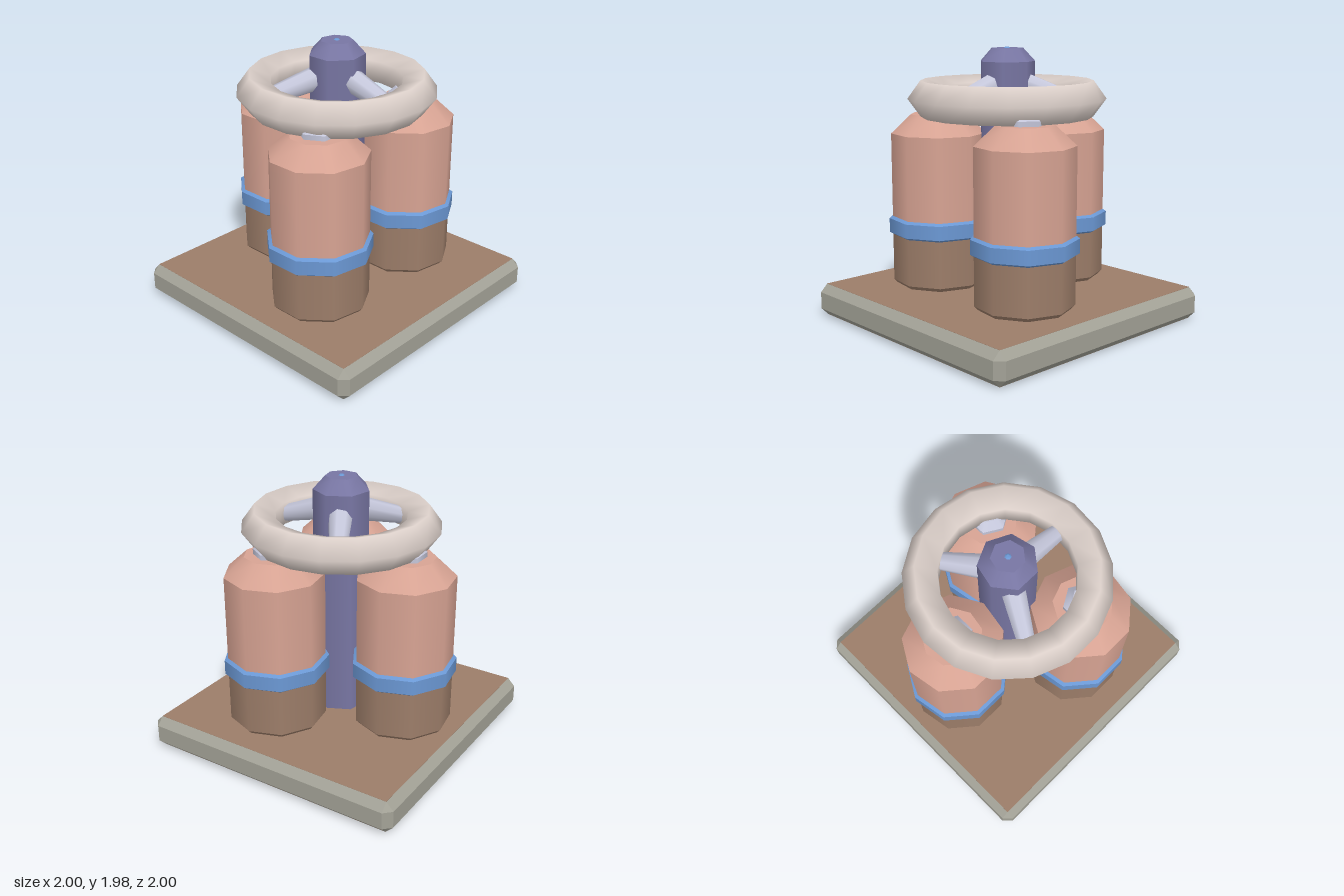
import * as THREE from 'three';
import { ConvexGeometry } from 'three/addons/geometries/ConvexGeometry.js';

const paint = (name, color) => {
  const m = new THREE.MeshStandardMaterial({ color });
  m.name = name;
  return m;
};

export function createModel() {
  const root = new THREE.Group();
  root.name = 'tankRig';
  const grey = paint('stone grey', 0xa2a196);
  const brown = paint('rust brown', 0x9c7d69);
  const pink = paint('dusty pink', 0xd7a393);
  const blue = paint('band blue', 0x6b98d4);
  const purple = paint('slate purple', 0x7876a3);
  const pale = paint('pale lavender', 0xc6c8dc);
  const cream = paint('warm cream', 0xdcd0ca);

  const add = (parent, name, geometry, material, x = 0, y = 0, z = 0) => {
    const m = new THREE.Mesh(geometry, material);
    m.name = name;
    m.position.set(x, y, z);
    parent.add(m);
    return m;
  };

  // Stack of frusta through [radius, height] points, smooth round the side, sharp between levels
  const stack = (parent, name, profile, sides, material, start = Math.PI / 2) => {
    const g = new THREE.Group();
    g.name = name;
    for (let i = 0; i + 1 < profile.length; i++) {
      const [r0, y0] = profile[i], [r1, y1] = profile[i + 1];
      const geo = new THREE.CylinderGeometry(r1, r0, y1 - y0, sides, 1, true, start);
      add(g, name + 'Section', geo, material, 0, (y0 + y1) / 2, 0);
    }
    const [rTop, yTop] = profile[profile.length - 1];
    const cap = new THREE.CircleGeometry(rTop, sides, start - Math.PI / 2);
    cap.rotateX(-Math.PI / 2);
    add(g, name + 'Top', cap, material, 0, yTop, 0);
    parent.add(g);
    return g;
  };

  // Base slab with every edge chamfered
  const H = 0.235, c = 0.055, corners = [];
  for (const sx of [-1, 1]) for (const sz of [-1, 1]) for (const sy of [-1, 1]) {
    const point = (x, y, z) => corners.push(new THREE.Vector3(sx * x, H / 2 + sy * y, sz * z));
    point(1 - c, H / 2, 1 - c);
    point(1, H / 2 - c, 1 - c);
    point(1 - c, H / 2 - c, 1);
  }
  add(root, 'baseSlab', new ConvexGeometry(corners), grey);
  const plate = new THREE.BoxGeometry(2 - 2 * c, 0.003, 2 - 2 * c);
  add(root, 'baseTopPlate', plate, brown, 0, H, 0);
  add(root, 'baseBottomPlate', plate, brown, 0, 0.0005, 0);

  // Central post with a bevelled head
  stack(root, 'post', [[0.2, 0.23], [0.2, 1.88], [0.115, 1.972]], 7, purple);
  add(root, 'postPin', new THREE.CylinderGeometry(0.012, 0.025, 0.01, 7), blue, 0, 1.975, 0);

  // Three tanks round the post, all turned the same way
  for (let i = 0; i < 3; i++) {
    const a = Math.PI + i * Math.PI * 2 / 3;
    const tank = new THREE.Group();
    tank.name = 'tank';
    tank.position.set(Math.sin(a) * 0.52, 0, Math.cos(a) * 0.52);
    root.add(tank);
    stack(tank, 'tankLower', [[0.32, 0.232], [0.35, 0.265], [0.35, 0.68]], 9, brown);
    stack(tank, 'tankUpper', [[0.35, 0.68], [0.35, 1.355], [0.205, 1.49]], 9, pink);
    stack(tank, 'tankBand', [[0.35, 0.61], [0.375, 0.626], [0.375, 0.729], [0.35, 0.745]], 9, blue)
      .children.pop();
    // Valve with a flat side facing the post
    stack(tank, 'tankValve', [[0.14, 1.485], [0.14, 1.525], [0.085, 1.58]], 6, pale, a + Math.PI / 6);
  }

  // Hand wheel
  const wheel = new THREE.TorusGeometry(0.571, 0.134, 5, 17);
  wheel.rotateX(-Math.PI / 2);
  add(root, 'wheelRim', wheel, cream, 0, 1.62, 0);

  // Tapered spokes sloping down from the post to the rim, between the tanks
  const up = new THREE.Vector3(0, 1, 0);
  for (let i = 0; i < 3; i++) {
    const a = i * Math.PI * 2 / 3;
    const from = new THREE.Vector3(Math.sin(a) * 0.08, 1.735, Math.cos(a) * 0.08);
    const to = new THREE.Vector3(Math.sin(a) * 0.56, 1.585, Math.cos(a) * 0.56);
    const dir = to.clone().sub(from);
    const spoke = add(root, 'spoke', new THREE.CylinderGeometry(0.055, 0.09, dir.length(), 8), pale);
    spoke.position.copy(from).add(to).multiplyScalar(0.5);
    spoke.quaternion.setFromUnitVectors(up, dir.normalize());
  }
  return root;
}
